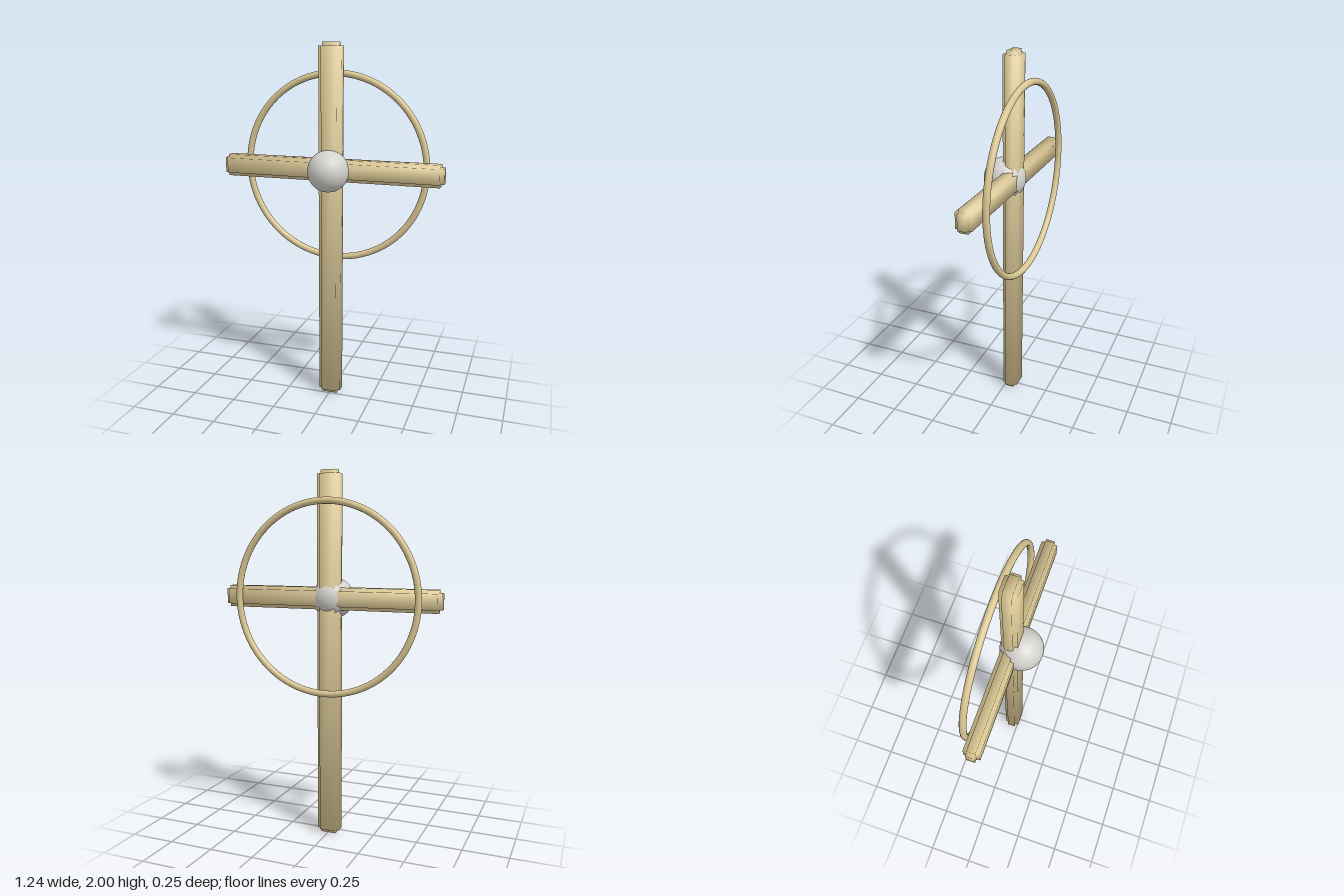
import * as THREE from 'three';

const CENTER_Y = 1.327;
const BEAM_Z = -0.035;

// Box whose edges are cut by a small square notch, with softly rounded shading.
// outer: half sizes of the faces, inner: half sizes at the notches
function notchedBeam(outer, inner) {
  const geometry = new THREE.BoxGeometry(2, 2, 2, 3, 3, 3);
  const pos = geometry.attributes.position;
  const normal = geometry.attributes.normal;
  const n = new THREE.Vector3();
  for (let i = 0; i < pos.count; i++) {
    const p = [pos.getX(i), pos.getY(i), pos.getZ(i)];
    const onEdge = p.filter((c) => Math.abs(c) > 0.9).length > 1;
    const q = p.map((c, a) =>
      Math.sign(c) * (!onEdge && Math.abs(c) > 0.9 ? outer[a] : inner[a]));
    pos.setXYZ(i, ...q);
    n.set(...p.map(Math.sign)).normalize();
    normal.setXYZ(i, n.x, n.y, n.z);
  }
  return geometry;
}

export function createModel() {
  const group = new THREE.Group();
  group.name = 'ringedCross';

  const gold = new THREE.MeshStandardMaterial({ color: 0xdac793 });
  gold.name = 'paleGold';
  const silver = new THREE.MeshStandardMaterial({ color: 0xd4d2ce });
  silver.name = 'silver';

  const add = (name, geometry, material, y, z) => {
    const mesh = new THREE.Mesh(geometry, material);
    mesh.name = name;
    mesh.position.set(0, y, z);
    group.add(mesh);
  };

  // Upright post and crossbar
  add('uprightBeam', notchedBeam([0.063, 1, 0.043], [0.043, 0.98, 0.023]), gold, 1, BEAM_Z);
  add('crossBeam', notchedBeam([0.62, 0.06, 0.043], [0.6, 0.042, 0.023]), gold, CENTER_Y, BEAM_Z);

  // Ring floating just behind the beams
  add('ring', new THREE.TorusGeometry(0.512, 0.018, 16, 96), gold, CENTER_Y, -0.109);

  // Ball at the crossing
  add('centerBall', new THREE.SphereGeometry(0.113, 48, 32), silver, CENTER_Y, 0.014);

  return group;
}
